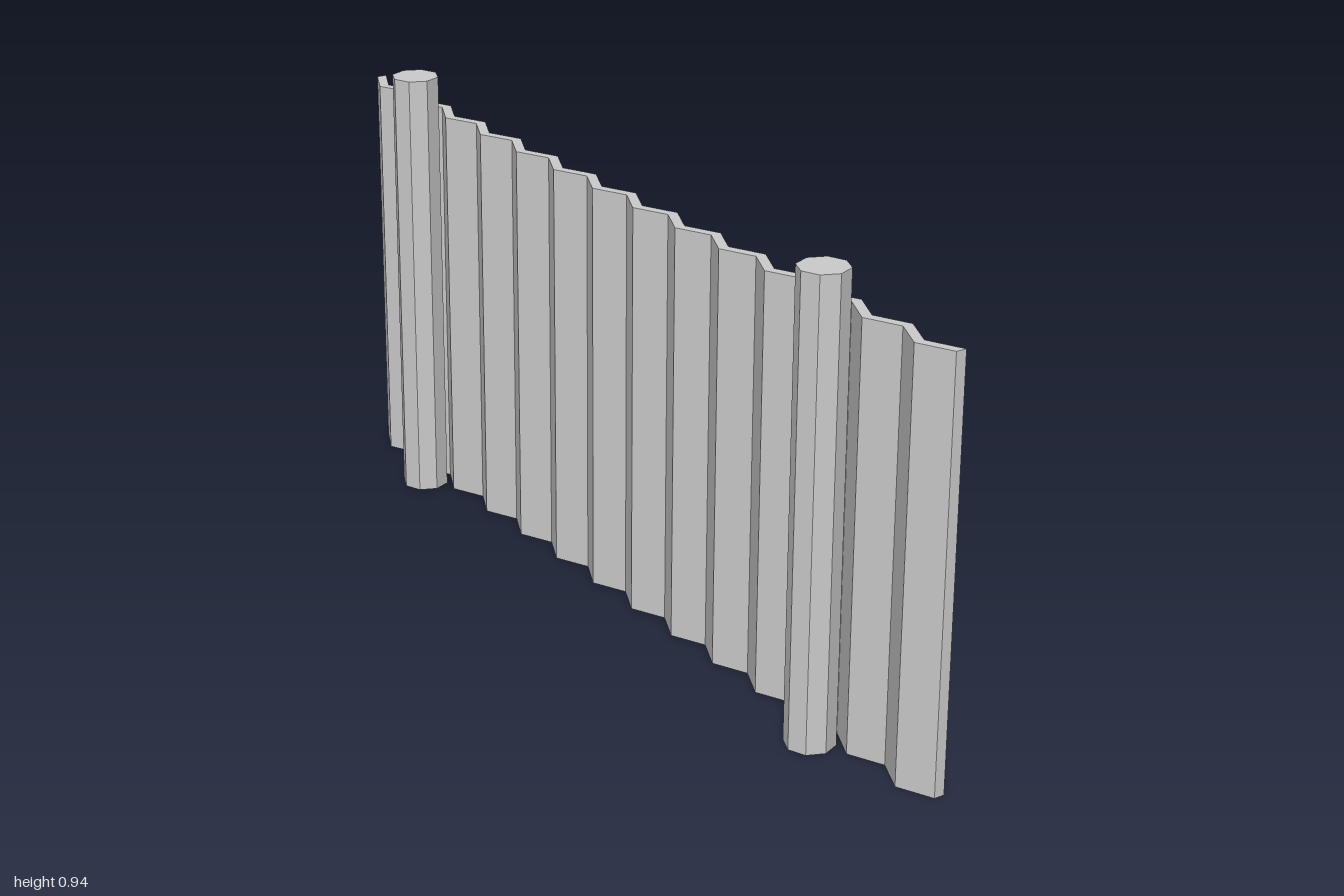
import * as THREE from 'three';

export function createModel() {
  const model = new THREE.Group();
  model.name = 'corrugatedFence';

  const greyMetal = new THREE.MeshStandardMaterial({ color: 0xcccccc });
  greyMetal.name = 'greyMetal';
  greyMetal.flatShading = true;

  // Corrugated sheet: a zigzag strip extruded upwards
  const folds = 28, length = 2, sheetHeight = 0.86;
  const valleyX = 0.012, ridgeX = 0.045, thickness = 0.022;
  const inner = [], outer = [];
  for (let i = 0; i <= folds; i++) {
    const x = i % 2 === 0 ? ridgeX : valleyX;
    const along = -length / 2 + (length * i) / folds;
    inner.push(new THREE.Vector2(x, along));
    outer.push(new THREE.Vector2(x + thickness, along));
  }
  const outline = new THREE.Shape([...outer, ...inner.reverse()]);
  const sheetGeometry = new THREE.ExtrudeGeometry(outline, { depth: sheetHeight, bevelEnabled: false });
  sheetGeometry.rotateX(-Math.PI / 2);
  const sheet = new THREE.Mesh(sheetGeometry, greyMetal);
  sheet.name = 'corrugatedSheet';
  model.add(sheet);

  // Two octagonal posts standing behind the sheet
  const postHeight = 0.94;
  const postGeometry = new THREE.CylinderGeometry(0.05, 0.05, postHeight, 8);
  for (const side of [1, -1]) {
    const post = new THREE.Mesh(postGeometry, greyMetal);
    post.name = side > 0 ? 'frontPost' : 'backPost';
    post.position.set(-0.019, postHeight / 2, side * 0.714);
    model.add(post);
  }

  return model;
}
